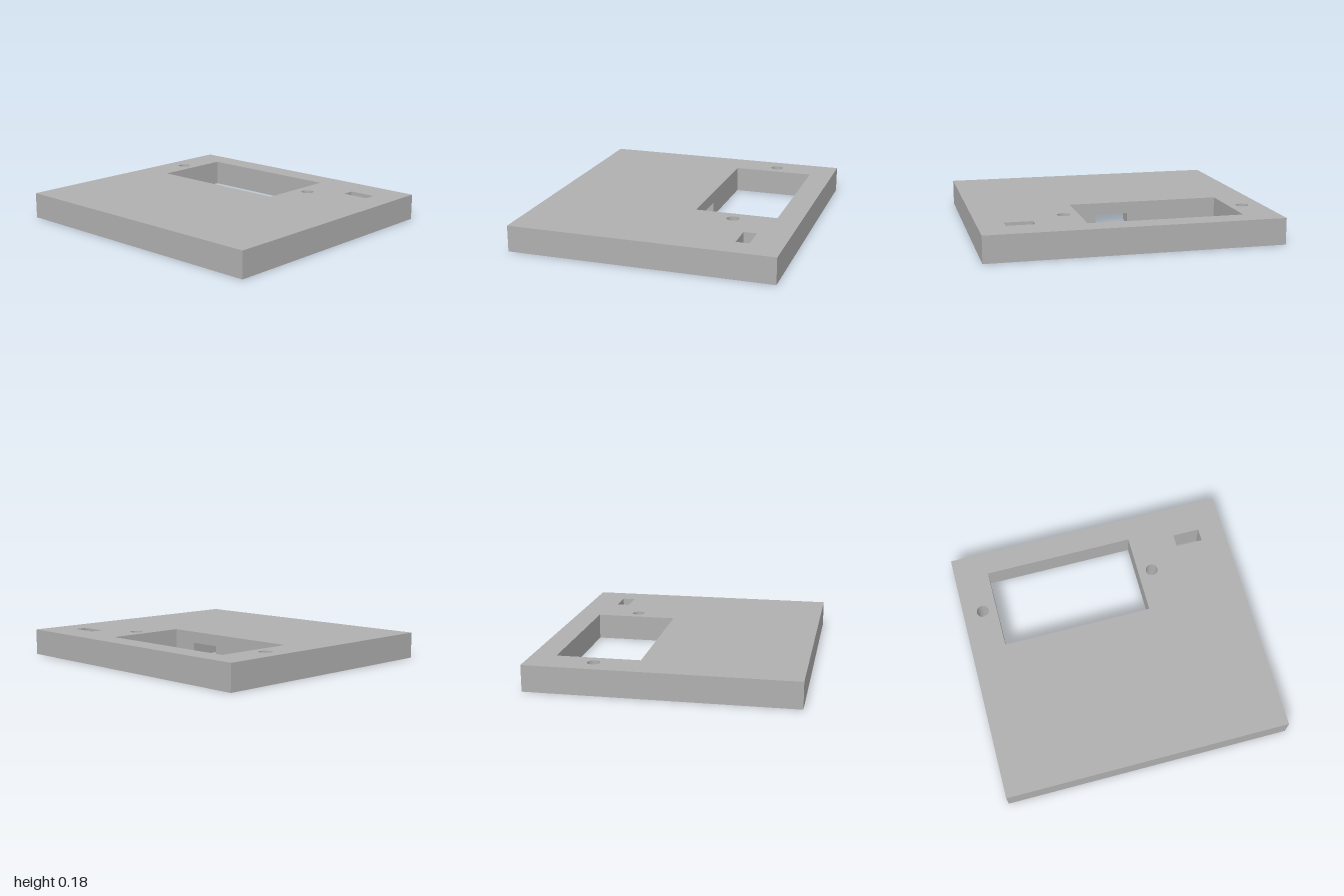
import * as THREE from 'three';
import { mergeGeometries, toCreasedNormals } from 'three/addons/utils/BufferGeometryUtils.js';

const HEIGHT = 0.18, POCKET = 0.1;

// Outlines are lists of [x, z]; in this order their walls face inwards.
const rect = (x0, x1, z0, z1) => [[x0, z0], [x1, z0], [x1, z1], [x0, z1]];

function arc(cx, cz, r, from, to, steps) {
  const pts = [];
  for (let i = 0; i <= steps; i++) {
    const a = from + (to - from) * i / steps;
    pts.push([cx + r * Math.cos(a), cz + r * Math.sin(a)]);
  }
  return pts;
}

// Flat face at height y, looking up or down
function face(outline, holes, y, up) {
  const s = up ? -1 : 1;
  const to2D = (pts) => pts.map(([x, z]) => new THREE.Vector2(x, s * z));
  const shape = new THREE.Shape(to2D(outline));
  shape.holes = holes.map((h) => new THREE.Path(to2D(h)));
  return new THREE.ShapeGeometry(shape).rotateX(s * Math.PI / 2).translate(0, y, 0).toNonIndexed();
}

// Upright strip along an outline
function wall(pts, y0, y1, closed = true) {
  const pos = [];
  const n = closed ? pts.length : pts.length - 1;
  for (let i = 0; i < n; i++) {
    const [ax, az] = pts[i], [bx, bz] = pts[(i + 1) % pts.length];
    pos.push(ax, y0, az, bx, y0, bz, bx, y1, bz, ax, y0, az, bx, y1, bz, ax, y1, az);
  }
  const g = new THREE.BufferGeometry();
  g.setAttribute('position', new THREE.Float32BufferAttribute(pos, 3));
  return g;
}

function part(name, pieces, material) {
  for (const g of pieces) {
    g.deleteAttribute('uv');
    g.deleteAttribute('normal');
  }
  const mesh = new THREE.Mesh(toCreasedNormals(mergeGeometries(pieces), 0.5), material);
  mesh.name = name;
  return mesh;
}

export function createModel() {
  const grey = new THREE.MeshStandardMaterial({ color: 0xb0b0b0 });
  grey.name = 'grey';

  const outer = rect(-1, 1, -0.905, 0.905);
  const [wx0, wx1, wz0, wz1] = [-0.76, 0.3, -0.74, -0.17];
  const slot = 0.113;
  const window = [[wx0, wz0], [wx1, wz0], [wx1, wz1], [slot, wz1], [-slot, wz1], [wx0, wz1]];
  const throughHoles = [
    rect(0.63, 0.82, -0.685, -0.595),
    ...[-0.86, 0.4].map((x) => arc(x, -0.46, 0.043, 0, Math.PI * 2, 32).slice(0, -1)),
  ];

  // Cross-shaped pocket: three round-tipped tapering arms, the fourth runs into the window
  const cz = 0.265, ix = 0.156, iz = 0.165, r = 0.1, q = Math.PI / 2;
  const pocket = [
    [slot, wz1], [ix, cz - iz],
    ...arc(0.71, cz, r, -q + 0.11, q - 0.11, 16), [ix, cz + iz],
    ...arc(0, 0.725, r, 0.19, Math.PI - 0.19, 16), [-ix, cz + iz],
    ...arc(-0.71, cz, r, q + 0.11, 3 * q - 0.11, 16), [-ix, cz - iz],
    [-slot, wz1],
  ];
  const bottomOpening = [...window.slice(0, 3), ...pocket, window[5]];

  const model = new THREE.Group();
  model.name = 'mountingPlate';
  model.add(
    part('plateBody', [
      face(outer, [window, ...throughHoles], HEIGHT, true),
      face(outer, [bottomOpening, ...throughHoles], 0, false),
      wall([...outer].reverse(), 0, HEIGHT),
    ], grey),
    part('windowWalls', [
      // All round except above the pocket mouth, where the wall starts higher
      wall([...window.slice(4), ...window.slice(0, 4)], 0, HEIGHT, false),
      wall(window.slice(3, 5), POCKET, HEIGHT, false),
    ], grey),
    part('throughHoleWalls', throughHoles.map((h) => wall(h, 0, HEIGHT)), grey),
    part('crossPocket', [
      face(pocket, [], POCKET, false),
      wall(pocket, 0, POCKET, false),
    ], grey),
  );
  return model;
}
